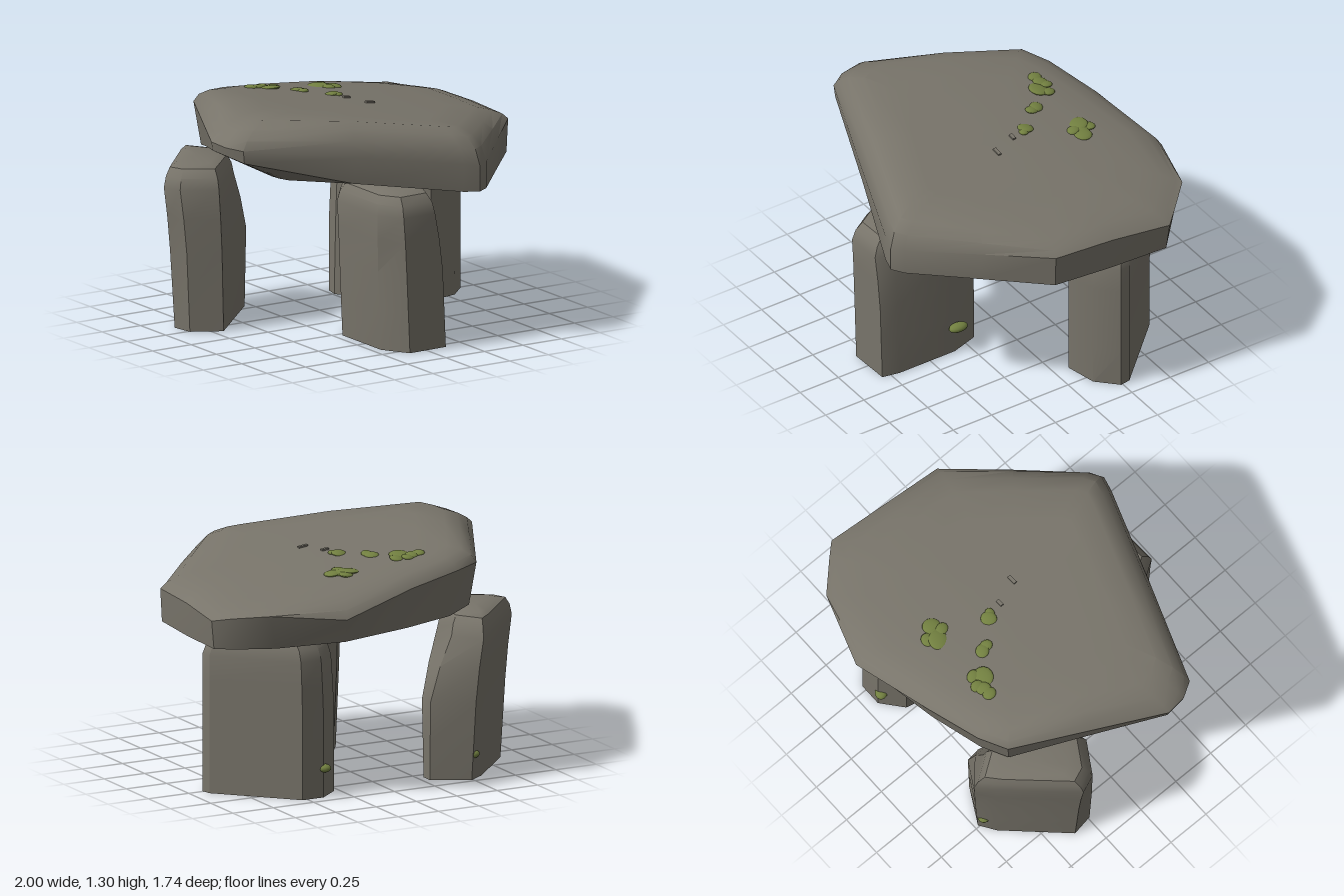
import * as THREE from 'three';
import { toCreasedNormals } from 'three/addons/utils/BufferGeometryUtils.js';

const stone = new THREE.MeshStandardMaterial({ color: 0x78746a });
stone.name = 'weathered stone';
const moss = new THREE.MeshStandardMaterial({ color: 0x728040 });
moss.name = 'moss green';

const mix = THREE.MathUtils.lerp;

// Closed solid through equal-length rings, bottom to top, counter-clockwise from above
function loft(rings, crease) {
  const n = rings[0].length;
  const pos = rings.flat(2);
  const index = [];
  for (let r = 0; r < rings.length - 1; r++) {
    for (let i = 0; i < n; i++) {
      const j = (i + 1) % n;
      const a = r * n + i, b = r * n + j, c = b + n, d = a + n;
      index.push(a, b, c, a, c, d);
    }
  }
  [rings[0], rings[rings.length - 1]].forEach((ring, top) => {
    const mid = [0, 1, 2].map(k => ring.reduce((s, p) => s + p[k], 0) / n);
    const c = pos.length / 3;
    pos.push(...mid);
    const base = top ? (rings.length - 1) * n : 0;
    for (let i = 0; i < n; i++) {
      const a = base + i, b = base + (i + 1) % n;
      if (top) index.push(a, b, c);
      else index.push(b, a, c);
    }
  });
  const g = new THREE.BufferGeometry();
  g.setAttribute('position', new THREE.Float32BufferAttribute(pos, 3));
  g.setIndex(index);
  return toCreasedNormals(g, crease);
}

// Gently domed upper surface of the capstone, dropping a little to the back
function topY(x, z) {
  const d = x + 0.65;
  const ridge = d > 0 ? 1.308 - 0.1 * d - 0.018 * d * d : 1.308 - 0.6 * d * d;
  return ridge - 0.08 * Math.min(z, 0) ** 2;
}

// Rim points: x, z, lower edge y, upper edge y, lower edge scale
const rim = [
  [-1, 0.2, 1.14, 1.19, 0.99], [-0.985, 0.32, 1.13, 1.18, 0.99], [-0.93, 0.41, 1.1, 1.17, 0.99],
  [-0.35, 0.63, 0.95, 1.1, 0.97], [0.22, 0.84, 0.875, 1.03, 1], [0.31, 0.865, 0.87, 1.01, 1],
  [0.38, 0.82, 0.87, 1.02, 1], [0.66, 0.51, 0.868, 1.04, 0.99], [0.93, 0.2, 0.865, 1.05, 0.99],
  [0.96, -0.15, 0.862, 1.05, 0.99], [0.995, -0.5, 0.87, 1.03, 0.98], [0.92, -0.58, 0.87, 1.05, 0.96],
  [0.76, -0.74, 0.88, 1.08, 0.92], [0.36, -0.87, 0.9, 1.04, 0.92], [-0.1, -0.77, 0.91, 1.14, 0.94],
  [-0.43, -0.68, 0.92, 1.18, 0.94], [-0.59, -0.6, 0.95, 1.19, 0.95], [-0.8, -0.19, 1.05, 1.19, 0.97],
];

function capstoneGeometry() {
  const scaled = (k, y) => rim.map(p => [p[0] * k, y(p, p[0] * k, p[1] * k), p[1] * k]);
  return loft([
    scaled(0.55, (p, x) => (x < -0.2 ? 0.88 - (x + 0.2) * 0.1 : 0.875)),
    rim.map(([x, z, lo, , k]) => [x * k, lo, z * k]),
    scaled(1, p => p[3]),
    scaled(0.965, (p, x, z) => mix(p[3], topY(x, z), 0.5)),
    scaled(0.9, (p, x, z) => mix(p[3], topY(x, z), 0.82)),
    ...[0.8, 0.6, 0.4, 0.2].map(k => scaled(k, (p, x, z) => topY(x, z))),
  ], 0.6);
}

// Upright stone: footprints at foot, middle and head, with a rounded crown
function uprightGeometry({ foot, middle, head, height }) {
  const base = 0.01;
  const cx = head.reduce((s, p) => s + p[0], 0) / head.length;
  const cz = head.reduce((s, p) => s + p[1], 0) / head.length;
  const between = (a, b, t, y) => a.map((p, i) => [mix(p[0], b[i][0], t), y, mix(p[1], b[i][1], t)]);
  const crown = (k, y) => head.map(p => [mix(cx, p[0], k), y, mix(cz, p[1], k)]);
  return loft([
    between(foot, foot, 0, base),
    between(foot, middle, 0.5, mix(base, 0.45, 0.5)),
    between(middle, middle, 0, 0.45),
    between(middle, head, 0.45, mix(0.45, height, 0.4)),
    crown(1, height - 0.12),
    crown(0.94, height - 0.06),
    crown(0.82, height - 0.015),
    crown(0.6, height),
  ], 0.55);
}

const uprights = {
  rightHandUpright: {
    height: 0.925,
    foot: [[-0.87, -0.36], [-0.85, -0.24], [-0.69, -0.15], [-0.29, -0.55], [-0.29, -0.62], [-0.49, -0.73], [-0.58, -0.67]],
    middle: [[-0.9, -0.36], [-0.87, -0.24], [-0.7, -0.15], [-0.28, -0.55], [-0.29, -0.63], [-0.5, -0.76], [-0.6, -0.69]],
    head: [[-0.94, -0.36], [-0.9, -0.26], [-0.72, -0.15], [-0.44, -0.43], [-0.42, -0.63], [-0.53, -0.79], [-0.62, -0.71]],
  },
  frontUpright: {
    height: 0.89,
    foot: [[-0.2, 0.66], [-0.11, 0.81], [0.13, 0.8], [0.15, 0.7], [0.15, 0.34], [0.1, 0.18], [-0.13, 0.18], [-0.2, 0.28]],
    middle: [[-0.22, 0.66], [-0.13, 0.81], [0.11, 0.8], [0.13, 0.7], [0.13, 0.34], [0.08, 0.17], [-0.15, 0.18], [-0.22, 0.28]],
    head: [[-0.235, 0.68], [-0.15, 0.81], [0.06, 0.8], [0.1, 0.7], [0.1, 0.34], [0.06, 0.17], [-0.16, 0.18], [-0.235, 0.28]],
  },
  leftHandUpright: {
    height: 0.9,
    foot: [[0.26, -0.5], [0.34, -0.37], [0.62, -0.09], [0.8, -0.13], [0.91, -0.24], [0.9, -0.3], [0.53, -0.68], [0.4, -0.68], [0.28, -0.58]],
    middle: [[0.27, -0.5], [0.35, -0.37], [0.62, -0.09], [0.79, -0.13], [0.91, -0.24], [0.9, -0.3], [0.53, -0.68], [0.4, -0.68], [0.28, -0.58]],
    head: [[0.285, -0.5], [0.36, -0.37], [0.62, -0.09], [0.78, -0.13], [0.91, -0.24], [0.9, -0.3], [0.54, -0.68], [0.41, -0.67], [0.3, -0.58]],
  },
};

// Moss cushions on the capstone: x, z, radius
const cushions = [
  [-0.295, -0.48, 0.036], [-0.25, -0.485, 0.045], [-0.2, -0.44, 0.055], [-0.16, -0.48, 0.04], [-0.22, -0.5, 0.035],
  [0.17, -0.515, 0.045], [0.135, -0.475, 0.055], [0.17, -0.42, 0.04], [0.22, -0.45, 0.048], [0.18, -0.47, 0.05],
  [-0.08, -0.345, 0.038], [-0.07, -0.31, 0.038], [0.04, -0.195, 0.042], [0.06, -0.17, 0.032],
];

// Moss tufts near the foot of each upright: x, y, z, turn, half length
const tufts = [[0.17, 0.18, 0.33, 0, 0.058], [-0.51, 0.15, -0.705, 0.9, 0.038], [0.39, 0.17, -0.665, 0.8, 0.04]];

export function createModel() {
  const group = new THREE.Group();
  const add = (name, geometry, material, parent = group) => {
    const mesh = new THREE.Mesh(geometry, material);
    mesh.name = name;
    parent.add(mesh);
    return mesh;
  };

  add('capstone', capstoneGeometry(), stone);
  for (const [name, spec] of Object.entries(uprights)) add(name, uprightGeometry(spec), stone);

  const patches = new THREE.Group();
  patches.name = 'mossPatches';
  group.add(patches);
  const blob = new THREE.SphereGeometry(1, 14, 8);
  cushions.forEach(([x, z, r], i) => {
    const m = add('mossCushion', blob, moss, patches);
    m.position.set(x, topY(x, z), z);
    m.scale.set(r, 0.014, r * (i % 2 ? 0.85 : 1.1));
    m.rotation.set(-0.06, i * 0.7, -0.12);
  });
  tufts.forEach(([x, y, z, turn, half]) => {
    const m = add('mossTuft', blob, moss, patches);
    m.position.set(x, y, z);
    m.scale.set(0.035, 0.024, half);
    m.rotation.y = turn;
  });

  // Two small chips of stone on the capstone
  [[0.07, -0.09, 0.04], [0.13, 0.05, 0.055]].forEach(([x, z, w]) => {
    const m = add('stoneChip', new THREE.BoxGeometry(w, 0.014, 0.02), stone);
    m.position.set(x, topY(x, z) + 0.002, z);
    m.rotation.z = -0.13;
  });
  return group;
}
